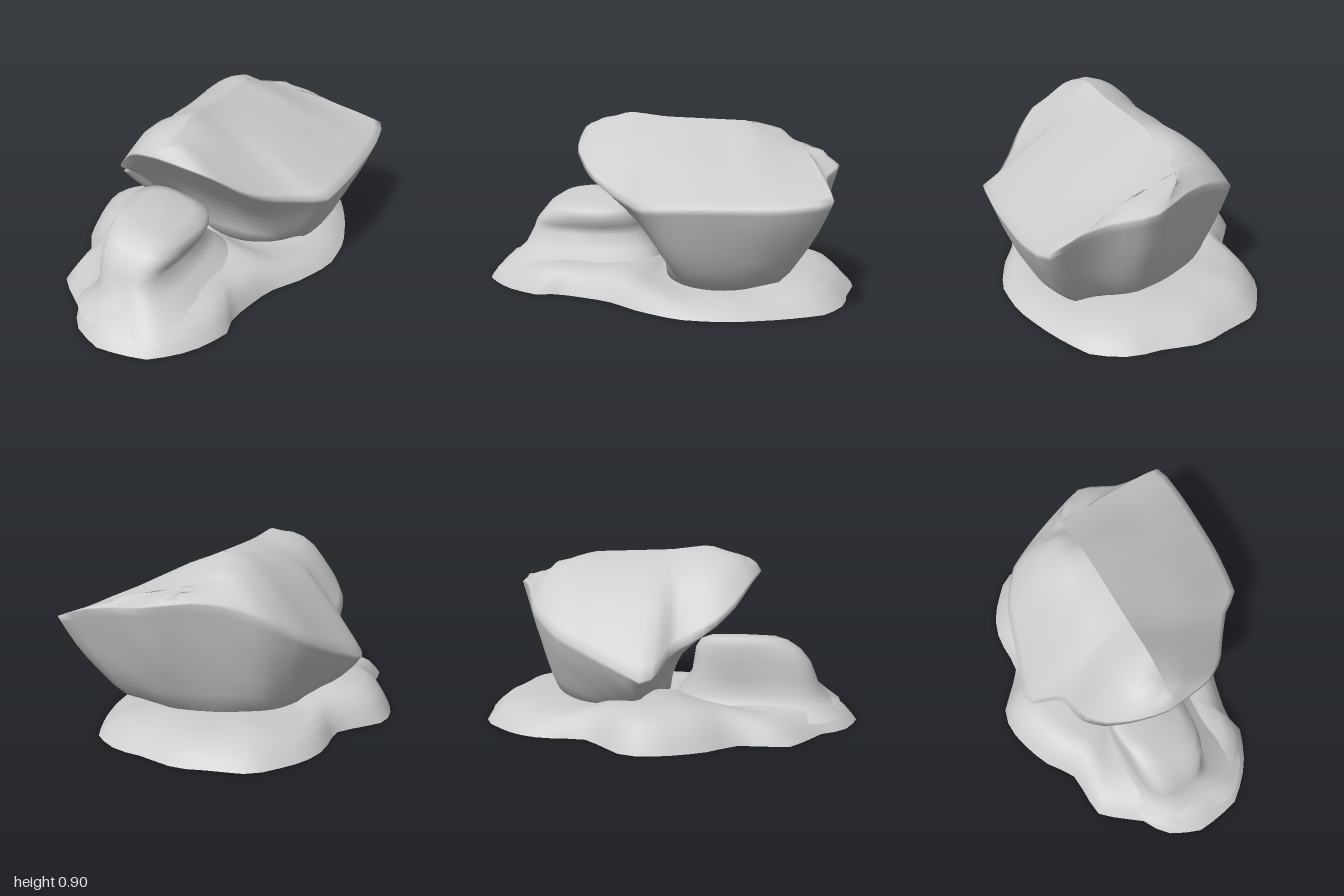
import * as THREE from 'three';

const N = 64;
const { lerp, clamp, smoothstep } = THREE.MathUtils;
const material = new THREE.MeshStandardMaterial({ color: 0xcccccc, side: THREE.DoubleSide });

// Gentle repeatable unevenness
const lump = (x, y, z) =>
  Math.sin(9 * x + 4 * z + 1) * Math.sin(8 * y - 3 * x) * 0.6 +
  Math.sin(17 * z + 6 * y) * Math.sin(15 * x - 7 * y + 2) * 0.4;

// Skin closed rings (clockwise from above, lowest first)
function loft(rings, name, rough = 0) {
  const pos = [], index = [];
  rings.forEach((ring, r) => {
    ring.forEach(([x, y, z], i) => {
      const k = 1 + rough * lump(x, y, z);
      pos.push(x * k, y, z * k);
      if (r < rings.length - 1) {
        const j = (i + 1) % N, a = r * N + i, b = r * N + j;
        index.push(a, a + N, b + N, a, b + N, b);
      }
    });
  });
  const g = new THREE.BufferGeometry();
  g.setAttribute('position', new THREE.Float32BufferAttribute(pos, 3));
  g.setIndex(index);
  g.computeVertexNormals();
  const mesh = new THREE.Mesh(g, material);
  mesh.name = name;
  return mesh;
}

// Even resampling of a plan outline of [x, z, height]
function outline(points) {
  const c = new THREE.CatmullRomCurve3(
    points.map(([x, z, h]) => new THREE.Vector3(x, h, z)), true, 'catmullrom', 0.25);
  return c.getSpacedPoints(N).slice(0, N);
}

// Piecewise linear height along a list of [position, height]
function along(list, v) {
  for (let i = 1; i < list.length; i++) {
    const [a, ya] = list[i - 1], [b, yb] = list[i];
    if (v <= b) return lerp(ya, yb, clamp((v - a) / (b - a), 0, 1));
  }
  return list[list.length - 1][1];
}

// Low spreading ground rock, hollow underneath
function baseRock() {
  const edge = outline([
    [-0.08, 0.99, 0.15], [-0.27, 0.9, 0.15], [-0.32, 0.8, 0.14], [-0.53, 0.63, 0.12],
    [-0.55, 0.38, 0.15], [-0.66, 0.22, 0.17], [-0.73, 0.02, 0.18], [-0.73, -0.15, 0.18],
    [-0.55, -0.36, 0.16], [-0.55, -0.58, 0.12], [-0.5, -0.74, 0.12], [-0.34, -0.93, 0.13],
    [-0.15, -0.97, 0.13], [0, -1, 0.13], [0.2, -0.95, 0.13], [0.34, -0.93, 0.12],
    [0.5, -0.83, 0.1], [0.6, -0.62, 0.08], [0.67, -0.38, 0.08], [0.67, -0.15, 0.08],
    [0.58, 0.06, 0.1], [0.47, 0.23, 0.14], [0.4, 0.5, 0.14], [0.42, 0.62, 0.14],
    [0.33, 0.8, 0.14], [0.17, 0.95, 0.14],
  ]);
  const steps = [[1, 0], [0.96, 0.32], [0.9, 0.68], [0.81, 0.9], [0.68, 1], [0.45, 0.95], [0.2, 0.9]];
  const rings = steps.map(([s, h]) => edge.map(p =>
    [p.x * s - 0.02 * (1 - s), 0.005 + p.y * h + 0.012 * h * lump(p.x * s, 0.3, p.z * s), p.z * s]));
  rings.push(edge.map(() => [-0.02, 0.12, 0]));
  return loft(rings, 'baseRock');
}

// Upright squarish stump in front, its top leaning down to one side
function supportStone() {
  const rows = [ // y, centre x, centre z, half width, half depth
    [0.06, 0, 0.46, 0.36, 0.47], [0.12, -0.01, 0.45, 0.28, 0.42], [0.18, -0.05, 0.44, 0.21, 0.37],
    [0.26, -0.08, 0.45, 0.185, 0.33], [0.34, -0.07, 0.44, 0.2, 0.31], [0.41, -0.06, 0.42, 0.21, 0.28],
    [0.455, -0.06, 0.4, 0.2, 0.23], [0.475, -0.06, 0.39, 0.14, 0.16], [0.48, -0.06, 0.38, 0, 0],
  ];
  const sq = v => Math.sign(v) * Math.pow(Math.abs(v), 0.7);
  const rings = rows.map(([y, cx, cz, rx, rz]) => Array.from({ length: N }, (_, i) => {
    const a = i / N * Math.PI * 2;
    const x = cx - rx * sq(Math.sin(a)), z = cz + rz * sq(Math.cos(a));
    return [x, y - 0.2 * (x + 0.22) * smoothstep(y, 0.2, 0.45), z];
  }));
  return loft(rings, 'supportStone', 0.05);
}

// Large overhanging boulder: narrow foot, wide rim, ridged sloping top
function topBoulder() {
  const rim = outline([
    [-0.03, 0.475, 0.78], [-0.2, 0.43, 0.74], [-0.32, 0.35, 0.63], [-0.4, 0.24, 0.53],
    [-0.43, 0.06, 0.43], [-0.54, 0, 0.36], [-0.6, -0.06, 0.31], [-0.55, -0.2, 0.36],
    [-0.5, -0.35, 0.42], [-0.44, -0.53, 0.5], [-0.32, -0.67, 0.6], [-0.15, -0.74, 0.67],
    [0, -0.8, 0.69], [0.22, -0.89, 0.67], [0.42, -0.82, 0.64], [0.56, -0.82, 0.62],
    [0.7, -0.83, 0.58], [0.73, -0.6, 0.55], [0.72, -0.25, 0.54], [0.68, 0.02, 0.52],
    [0.58, 0.09, 0.52], [0.46, 0.23, 0.56], [0.37, 0.34, 0.62], [0.23, 0.43, 0.72],
  ]);
  const ridge = [[-0.8, 0.72], [-0.43, 0.87], [0, 0.885], [0.2, 0.91], [0.42, 0.84]];
  const cx = 0.1, cz = -0.31;
  const rings = [rim.map(() => [cx, 0.07, cz])];

  // Underside: undercut at the front, full elsewhere
  for (const t of [0, 0.12, 0.25, 0.4, 0.55, 0.7, 0.83, 0.93, 1]) {
    rings.push(rim.map(p => {
      const a = Math.atan2(p.z - cz, p.x - cx);
      const fx = cx + 0.36 * Math.cos(a), fz = cz + 0.29 * Math.sin(a);
      const d = Math.pow(t, lerp(0.55, 1.7, smoothstep(p.z, -0.1, 0.35)));
      const bump = 0.025 * Math.sin(Math.PI * t) * lump(p.x, t, p.z);
      return [lerp(fx, p.x, d + bump), lerp(0.085, p.y, t), lerp(fz, p.z, d + bump)];
    }));
  }

  // Upper faces rise from the rim to the ridge
  for (const s of [0.06, 0.2, 0.38, 0.56, 0.75, 0.9, 1]) {
    rings.push(rim.map(p => {
      const rz = p.z * 0.85, top = along(ridge, rz);
      const swell = Math.sin(Math.PI * s) * (0.015 + 0.09 * smoothstep(-p.x, 0.05, 0.45));
      const bump = 0.015 * Math.sin(Math.PI * s) * lump(p.x, s, p.z);
      return [lerp(p.x, 0.01, s), lerp(p.y, top, s) + swell + bump, lerp(p.z, rz, s)];
    }));
  }
  return loft(rings, 'topBoulder');
}

export function createModel() {
  const group = new THREE.Group();
  group.name = 'balancedRocks';
  group.add(baseRock(), supportStone(), topBoulder());
  return group;
}
